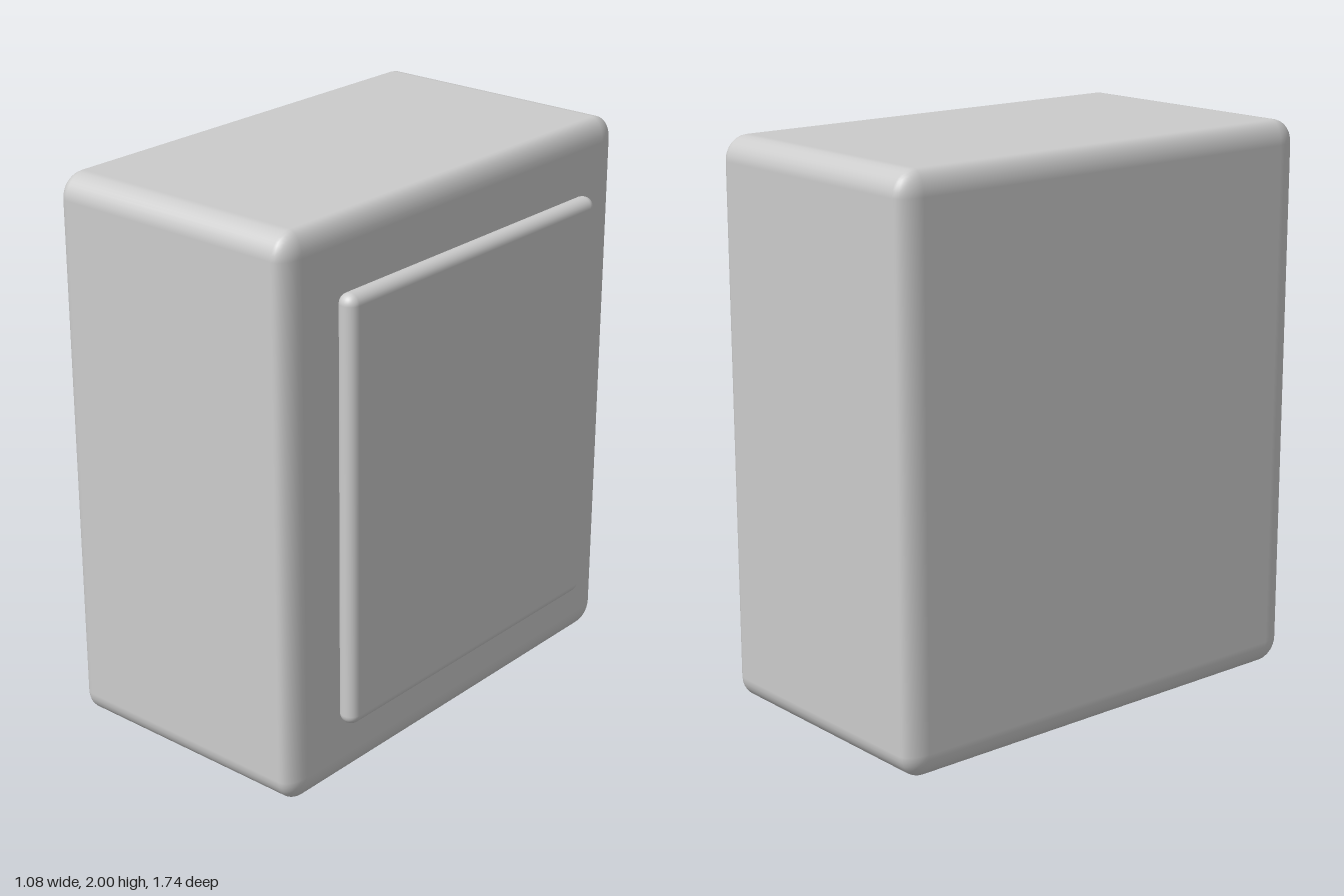
import * as THREE from 'three';
import { RoundedBoxGeometry } from 'three/addons/geometries/RoundedBoxGeometry.js';

const material = new THREE.MeshStandardMaterial({ color: 0xcccccc });

// Rounded block spanning min..max; squash narrows the rounding along x
function roundedBlock(name, min, max, radius, squash = 1) {
  const [w, h, d] = max.map((v, i) => v - min[i]);
  const geometry = new RoundedBoxGeometry(w / squash, h, d, 4, radius);
  geometry.scale(squash, 1, 1);
  const mesh = new THREE.Mesh(geometry, material);
  mesh.name = name;
  mesh.position.set(...max.map((v, i) => (v + min[i]) / 2));
  return mesh;
}

export function createModel() {
  const group = new THREE.Group();
  group.name = 'panelledBox';

  // Main case with softened edges
  group.add(roundedBlock('body', [-0.54, 0, -0.87], [0.455, 2, 0.87], 0.085, 0.6));

  // Thin panel standing just off the left side, with fully round edges
  group.add(roundedBlock('sidePanel', [0.463, 0.24, -0.65], [0.537, 1.77, 0.65], 0.0365));

  return group;
}
